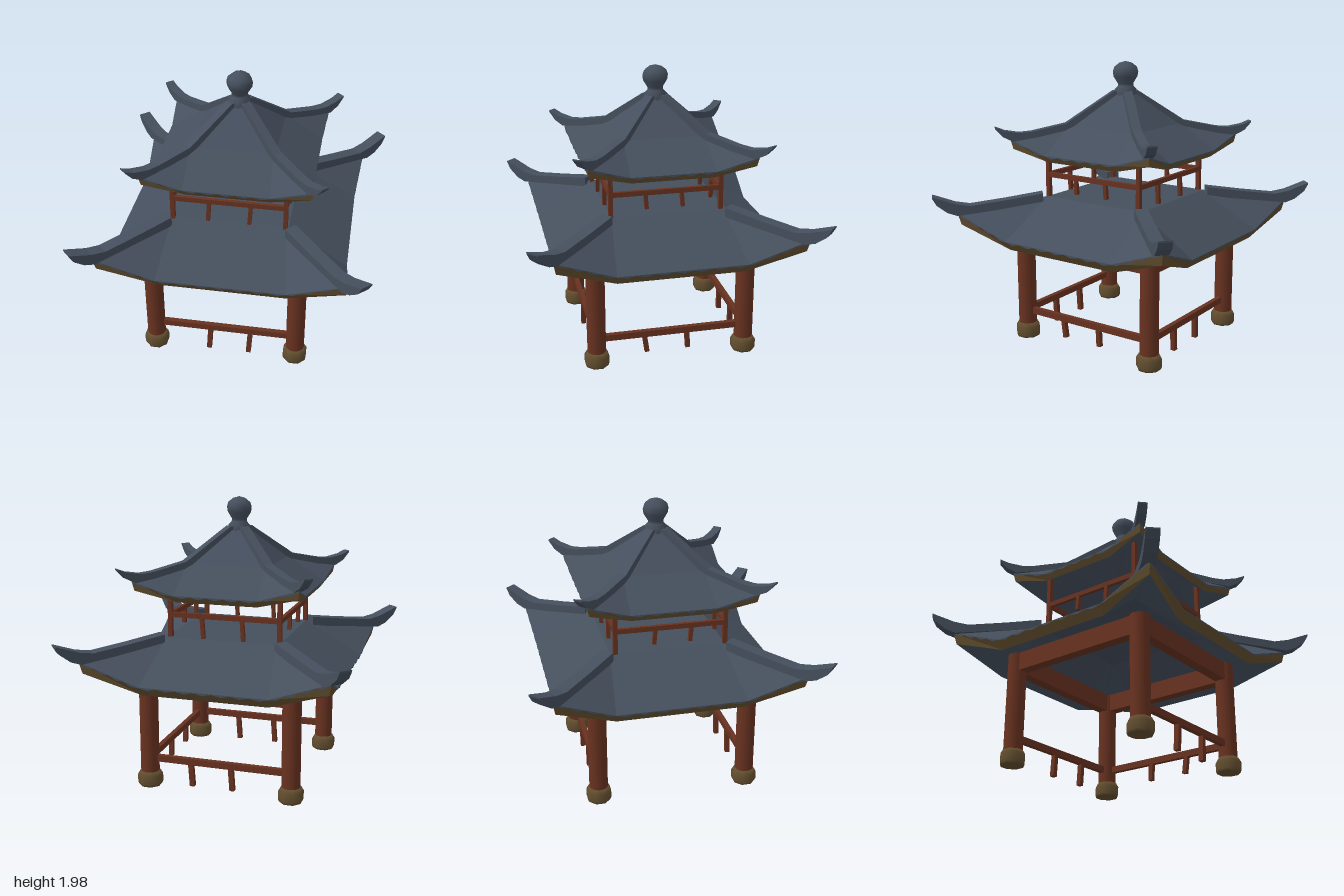
import * as THREE from 'three';

const mat = (name, color) => {
  const m = new THREE.MeshStandardMaterial({ color });
  m.name = name;
  return m;
};

export function createModel() {
  const slate = mat('slate tile', 0x454f5d);
  const redWood = mat('red wood', 0x683220);
  const ochre = mat('ochre trim', 0x624e2f);
  const model = new THREE.Group();

  const add = (name, geo, material, parent = model) => {
    const mesh = new THREE.Mesh(geo, material);
    mesh.name = name;
    parent.add(mesh);
    return mesh;
  };

  // Square ring with bent sides: corner (c, yc), straight middle (m, ym) within |x| < f
  const ring = (c, yc, m = c, ym = yc, f = c * 0.95) => {
    const pts = [];
    for (let side = 0; side < 4; side++) {
      for (const [x, y, z] of [[-c, yc, c], [-f, ym, m], [f, ym, m]]) {
        pts.push(new THREE.Vector3(x, y, z).applyAxisAngle(new THREE.Vector3(0, 1, 0), side * Math.PI / 2));
      }
    }
    return pts;
  };

  // Finely divided copy of a ring, dropped in a zigzag of scallops
  const scallop = (pts, drop, wave) => pts.flatMap((p, i) => {
    const q = pts[(i + 1) % pts.length];
    const n = 2 * Math.round(p.distanceTo(q) / 0.12);
    return Array.from({ length: n }, (_, k) => {
      const v = p.clone().lerp(q, k / n);
      v.y -= drop + (k % 2) * wave;
      return v;
    });
  });

  // Flat-shaded skin through successive rings
  const skin = (rings) => {
    const pos = [];
    for (let r = 0; r + 1 < rings.length; r++) {
      const a = rings[r], b = rings[r + 1], n = a.length;
      for (let i = 0; i < n; i++) {
        const j = (i + 1) % n;
        for (const p of [a[i], b[i], b[j], a[i], b[j], a[j]]) pos.push(p.x, p.y, p.z);
      }
    }
    const g = new THREE.BufferGeometry();
    g.setAttribute('position', new THREE.Float32BufferAttribute(pos, 3));
    g.computeVertexNormals();
    return g;
  };

  // Four upturned hip ridges from a side outline of [horizontal offset, y]
  const ridges = (name, outline, width, twist) => {
    const shape = new THREE.Shape(outline.map(([r, y]) => new THREE.Vector2(r * Math.SQRT2, y)));
    const geo = new THREE.ExtrudeGeometry(shape, { depth: width, bevelEnabled: false });
    geo.translate(0, 0, -width / 2);
    for (let k = 0; k < 4; k++) add(name, geo, slate).rotation.y = Math.PI / 4 + k * Math.PI / 2 + twist;
  };

  // Roof: tile surface, scalloped lip, sloping fascia and soffit
  const roof = (name, z, tops, eave, trim, soffits) => {
    const group = new THREE.Group();
    group.name = name;
    group.position.z = z;
    model.add(group);
    const eaveRing = ring(...eave), trimRing = ring(...trim);
    add(name + 'Tiles', skin([...tops.map((t) => ring(...t)), eaveRing]), slate, group);
    add(name + 'Lip', skin([scallop(eaveRing, 0, 0), scallop(eaveRing, 0.004, 0.013)]), slate, group);
    add(name + 'Fascia', skin([eaveRing, trimRing]), ochre, group);
    add(name + 'Soffit', skin([trimRing, ...soffits.map((t) => ring(...t))]), slate, group);
  };

  roof('lowerRoof', -0.008,
    [[0.001, 1.04], [0.4, 1.04]],
    [0.845, 0.942, 0.81, 0.795, 0.44],
    [0.828, 0.862, 0.768, 0.73, 0.43],
    [[0.4, 1.01], [0.001, 1.01]]);
  roof('upperRoof', -0.003,
    [[0.001, 1.78], [0.05, 1.77], [0.285, 1.535]],
    [0.572, 1.447, 0.55, 1.362, 0.29],
    [0.56, 1.385, 0.522, 1.315, 0.28],
    [[0.28, 1.505], [0.04, 1.74], [0.001, 1.74]]);

  ridges('lowerRidge', [[0.42, 1.0], [0.84, 0.93], [0.89, 0.955], [0.94, 1.01], [0.96, 1.06],
    [0.96, 1.07], [0.92, 1.05], [0.85, 1.015], [0.78, 0.998], [0.6, 1.03], [0.42, 1.068]], 0.09, -0.01);
  ridges('upperRidge', [[0.03, 1.74], [0.28, 1.5], [0.56, 1.44], [0.61, 1.475], [0.645, 1.53],
    [0.645, 1.54], [0.6, 1.515], [0.53, 1.498], [0.47, 1.505], [0.3, 1.555], [0.06, 1.775], [0.03, 1.775]], 0.065, 0);

  // Octagonal turned parts
  const turned = (profile) => new THREE.LatheGeometry(profile.map(([r, y]) => new THREE.Vector2(r, y)), 8);
  add('finial', turned([[0.078, 1.74], [0.078, 1.782], [0.055, 1.806], [0.055, 1.824], [0.085, 1.872],
    [0.09, 1.905], [0.08, 1.938], [0.045, 1.965], [0, 1.978]]), slate);
  const footing = turned([[0, 0], [0.08, 0], [0.088, 0.018], [0.088, 0.075], [0.07, 0.106], [0, 0.106]]);

  // Columns on footings, and slim upper posts
  const X = [-0.525, 0.49], Z = [-0.53, 0.525];
  const UX = [-0.395, 0.38], UZ = [-0.37, 0.392];
  const column = new THREE.CylinderGeometry(0.065, 0.065, 0.79, 16);
  const upperPost = new THREE.BoxGeometry(0.03, 0.42, 0.03);
  for (const i of [0, 1]) {
    for (const j of [0, 1]) {
      const foot = add('footing', footing, ochre);
      foot.position.set(X[i], 0, Z[j]);
      foot.rotation.y = Math.PI / 8;
      add('column', column, redWood).position.set(X[i], 0.4, Z[j]);
      add('upperPost', upperPost, redWood).position.set(UX[i], 1.23, UZ[j]);
    }
  }

  // Horizontal bar between two plan points
  const bar = (name, [x0, z0], [x1, z1], y, h, w) => {
    const b = add(name, new THREE.BoxGeometry(Math.hypot(x1 - x0, z1 - z0), h, w), redWood);
    b.position.set((x0 + x1) / 2, y, (z0 + z1) / 2);
    b.rotation.y = Math.atan2(z0 - z1, x1 - x0);
  };
  // Slightly leaning baluster under a rail
  const baluster = (x, z, y0, y1, w, leanX, leanZ) => {
    const b = add('baluster', new THREE.BoxGeometry(w, y1 - y0, w), redWood);
    b.position.set(x, (y0 + y1) / 2, z);
    b.rotation.set(leanX, 0, leanZ);
  };

  // Beams on four sides; the lower rail leaves the -x side open
  const sides = (xs, zs) => [
    [[xs[0], zs[1]], [xs[1], zs[1]]], [[xs[0], zs[0]], [xs[1], zs[0]]],
    [[xs[1], zs[0]], [xs[1], zs[1]]], [[xs[0], zs[0]], [xs[0], zs[1]]]];
  sides(X, Z).forEach(([a, b], k) => {
    bar('beam', a, b, 0.73, 0.13, 0.075);
    if (k < 3) bar('lowerRail', a, b, 0.2, 0.045, 0.035);
  });
  sides(UX, UZ).forEach(([a, b]) => bar('upperRail', a, b, 1.195, 0.034, 0.025));

  for (const j of [0, 1]) {
    const shift = j ? 0 : 0.02;
    for (const x of [-0.128, 0.16]) baluster(x + shift, Z[j], 0.003 + shift, 0.185, 0.034, 0, -0.07);
    for (const x of [-0.147, 0.138]) baluster(x + shift / 2, UZ[j], 1.04, 1.19, 0.026, 0, -0.07);
    for (const z of [-0.1, 0.15]) baluster(UX[j], z, 1.08, 1.19, 0.026, 0.08, 0);
  }
  baluster(X[1], 0.18, 0.06, 0.185, 0.032, 0.14, 0);
  baluster(X[1], -0.118, 0.06, 0.185, 0.032, 0.05, 0);

  return model;
}
